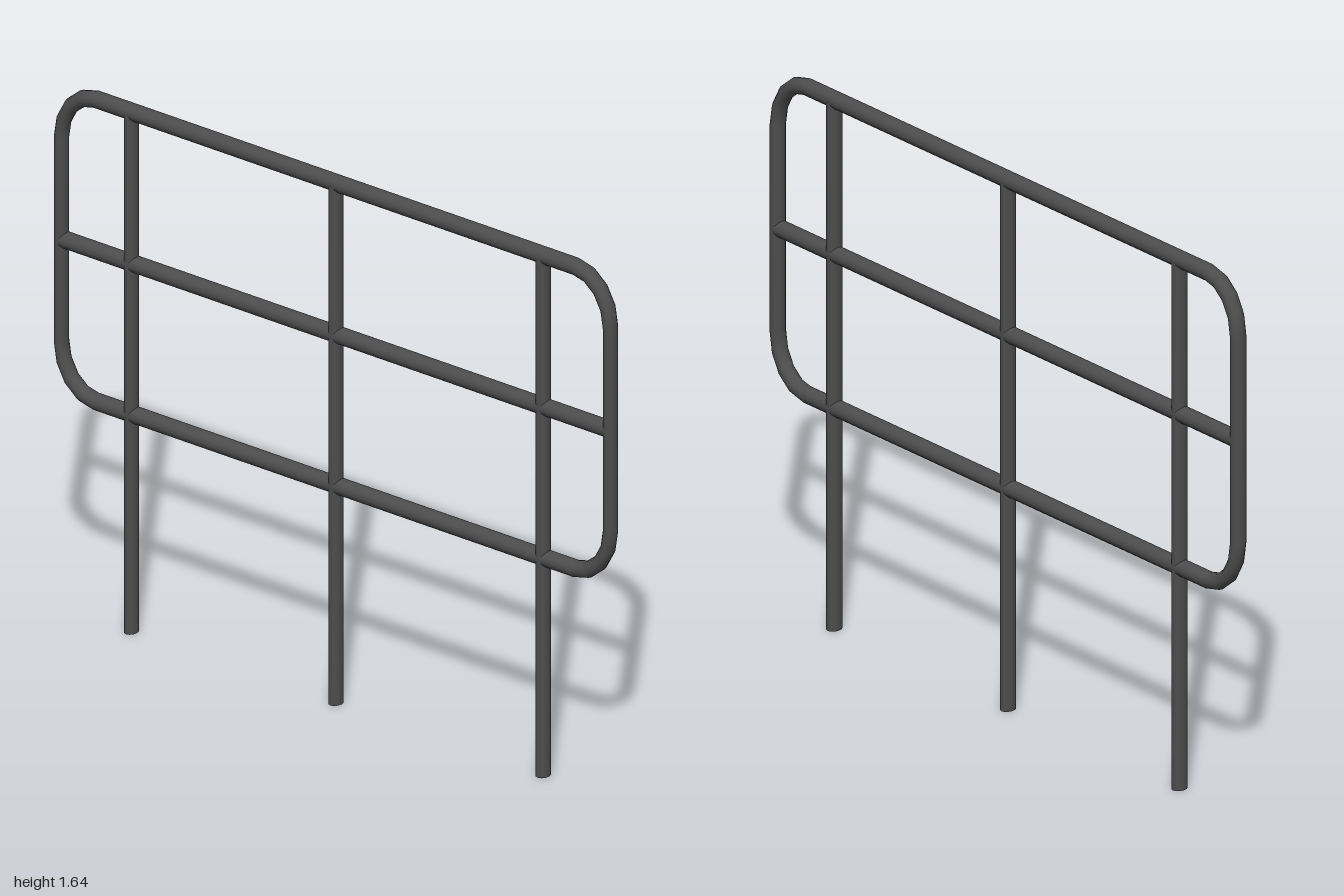
import * as THREE from 'three';

const R = 0.025;        // pipe radius
const SQUEEZE = 0.8;    // pipes and bends are narrower across x
const SIDES = 12;

// Closed rounded rectangle whose rings sit only on the corner arcs
class FrameCurve extends THREE.Curve {
  constructor(halfW, bottom, top, radius, steps) {
    super();
    this.rings = [];
    const cx = halfW - radius;
    const centres = [[cx, top - radius], [-cx, top - radius], [-cx, bottom + radius], [cx, bottom + radius]];
    centres.forEach(([x, y], corner) => {
      for (let i = 0; i <= steps; i++) {
        const a = (corner + i / steps) * Math.PI / 2;
        this.rings.push({
          point: new THREE.Vector3(x + radius * Math.cos(a), y + radius * Math.sin(a), 0),
          tangent: new THREE.Vector3(-Math.sin(a), Math.cos(a), 0),
        });
      }
    });
  }
  ring(u) { return this.rings[Math.round(u * this.rings.length) % this.rings.length]; }
  getPoint(u, target = new THREE.Vector3()) { return target.copy(this.ring(u).point); }
  getPointAt(u, target) { return this.getPoint(u, target); }
  getTangent(u, target = new THREE.Vector3()) { return target.copy(this.ring(u).tangent); }
  getTangentAt(u, target) { return this.getTangent(u, target); }
}

export function createModel() {
  const model = new THREE.Group();
  model.name = 'guardRailing';
  const steel = new THREE.MeshStandardMaterial({ color: 0x4d4d4d });
  steel.name = 'dark grey steel';

  const add = (name, geometry) => {
    geometry.scale(SQUEEZE, 1, 1);
    const mesh = new THREE.Mesh(geometry, steel);
    mesh.name = name;
    model.add(mesh);
    return mesh;
  };

  // Outer frame with rounded corners
  const frame = new FrameCurve(0.98 / SQUEEZE, 0.675, 1.612, 0.155, 4);
  add('outerFrame', new THREE.TubeGeometry(frame, frame.rings.length, R, SIDES, true));

  // Middle rail between the frame sides
  const rail = new THREE.CylinderGeometry(R, R, 1.96 / SQUEEZE, SIDES);
  rail.rotateZ(Math.PI / 2);
  add('middleRail', rail).position.y = 1.143;

  // Three posts from the ground to the top of the frame
  const postHeight = 1.61;
  [['rightPost', -0.73], ['centrePost', 0], ['leftPost', 0.74]].forEach(([name, x]) => {
    add(name, new THREE.CylinderGeometry(R, R, postHeight, SIDES)).position.set(x, postHeight / 2, 0);
  });

  return model;
}
